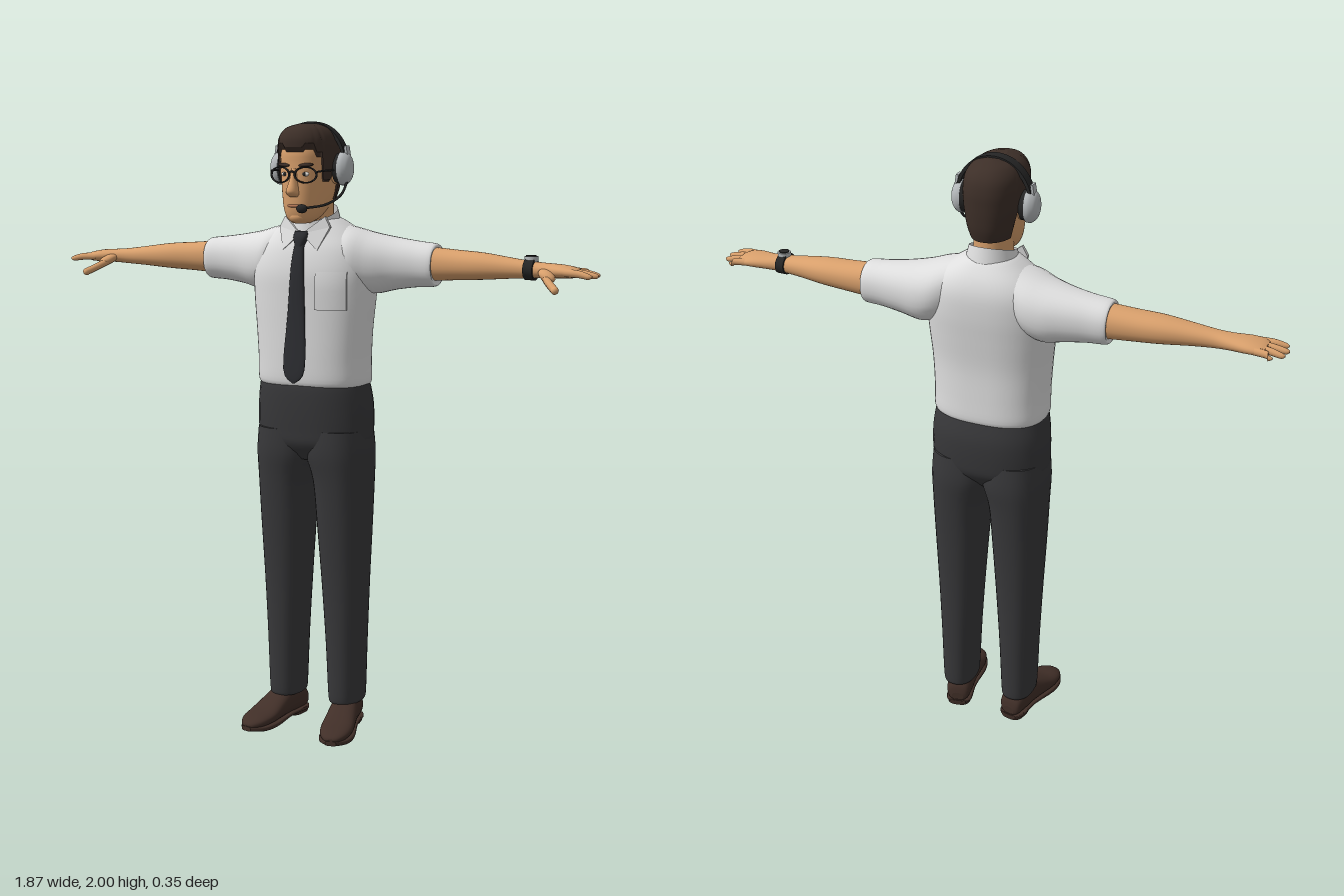
import * as THREE from 'three';
import { mergeVertices } from 'three/addons/utils/BufferGeometryUtils.js';

const mat = (name, color, side = THREE.FrontSide) => {
  const m = new THREE.MeshStandardMaterial({ color, side });
  m.name = name;
  return m;
};

// Smooth loft along an axis. Each ring is [position, uMin, uMax, vMin, vMax];
// (u, v) is (x, z) for 'y', (y, z) for 'x' and (x, y) for 'z'.
function loft(axis, rings, { p = 2, segs = 32, sub = 4, from = () => 0, caps = true } = {}) {
  const n = rings.length - 1, rows = n * sub;
  const pos = [], idx = [];
  const ring = (k) => {
    const i = Math.min(Math.floor(k), n - 1), t = k - i;
    const r = (j) => rings[Math.max(0, Math.min(n, j))];
    return rings[0].map((_, c) => {
      const a = r(i - 1)[c], b = r(i)[c], d = r(i + 1)[c], e = r(i + 2)[c];
      return b + 0.5 * t * (d - a + t * (2 * a - 5 * b + 4 * d - e + t * (3 * (b - d) + e - a)));
    });
  };
  const put = (w, u, v) => pos.push(...(axis === 'y' ? [u, w, v] : axis === 'x' ? [w, u, v] : [u, v, w]));
  const bend = (c) => Math.sign(c) * Math.abs(c) ** (2 / p);
  for (let i = 0; i <= rows; i++) for (let j = 0; j < segs; j++) {
    const a = (j / segs) * Math.PI * 2, k0 = from(a);
    const [w, u0, u1, v0, v1] = ring(k0 + (n - k0) * i / rows);
    const s = bend(Math.sin(a)) * (axis === 'y' ? -1 : 1);
    put(w, (u0 + u1) / 2 + bend(Math.cos(a)) * (u1 - u0) / 2, (v0 + v1) / 2 + s * (v1 - v0) / 2);
    if (i < rows) {
      const q = i * segs + j, r = i * segs + (j + 1) % segs;
      idx.push(q, r, r + segs, q, r + segs, q + segs);
    }
  }
  if (caps) for (const end of [0, 1]) {
    const first = pos.length / 3, row = end * rows * segs;
    for (let j = 0; j < segs; j++) pos.push(...pos.slice((row + j) * 3, (row + j) * 3 + 3));
    const [w, u0, u1, v0, v1] = rings[end * n];
    put(w, (u0 + u1) / 2, (v0 + v1) / 2);
    for (let j = 0; j < segs; j++) {
      const a = first + j, b = first + (j + 1) % segs;
      idx.push(first + segs, end ? a : b, end ? b : a);
    }
  }
  const g = new THREE.BufferGeometry();
  g.setAttribute('position', new THREE.Float32BufferAttribute(pos, 3));
  g.setIndex(idx);
  g.computeVertexNormals();
  return g;
}

// Symmetric ring: [position, half width, vMin, vMax]
const sym = (list) => list.map(([w, h, a, b]) => [w, -h, h, a, b]);
const tube = (pts, r) => new THREE.TubeGeometry(
  new THREE.CatmullRomCurve3(pts.map((q) => new THREE.Vector3(...q))), 20, r, 8);

// Moves the vertices of a geometry by a rule
function warp(g, rule) {
  const a = g.attributes.position;
  for (let i = 0; i < a.count; i++) a.setXYZ(i, ...rule(a.getX(i), a.getY(i), a.getZ(i)));
  g.computeVertexNormals();
  return g;
}

export function createModel() {
  const skin = mat('skin', 0xd9a06c), shirt = mat('shirt white', 0xdedede, THREE.DoubleSide);
  const cloth = mat('trouser charcoal', 0x38383a), hair = mat('hair brown', 0x3d2f28, THREE.DoubleSide);
  const leather = mat('shoe brown', 0x412f28), tieMat = mat('tie dark', 0x2c2d31);
  const silver = mat('headset silver', 0xb6babc), black = mat('black plastic', 0x252525);
  const lip = mat('lip', 0xb87a58), white = mat('eye white', 0xeeeae4);

  const root = new THREE.Group();
  root.name = 'officeWorker';
  const add = (name, g, m, at = [0, 0, 0], scale = [1, 1, 1], rot = [0, 0, 0]) => {
    const o = new THREE.Mesh(g, m);
    o.name = name;
    o.position.set(...at); o.scale.set(...scale); o.rotation.set(...rot);
    root.add(o);
    return o;
  };
  // Adds a part on the left (+x) and its mirror image on the right
  const pair = (name, ...args) => {
    const o = add('left' + name, ...args);
    o.updateMatrix();
    let g = o.geometry.clone().applyMatrix4(o.matrix);
    if (!g.index) g = mergeVertices(g);
    g.scale(-1, 1, 1);
    g.index.array.reverse();
    add('right' + name, g, o.material);
  };
  const ball = new THREE.SphereGeometry(1, 20, 14);

  // Trousers
  add('trouserHips', loft('y', sym([[0.92, 0.13, -0.12, 0.05], [0.97, 0.185, -0.16, 0.085], [1.02, 0.196, -0.17, 0.092],
    [1.1, 0.194, -0.172, 0.097], [1.16, 0.186, -0.16, 0.097], [1.19, 0.178, -0.15, 0.09]]), { p: 2.3 }), cloth);
  pair('TrouserLeg', loft('y', [[0.09, 0.056, 0.162, -0.13, 0.022], [0.12, 0.053, 0.166, -0.134, 0.028],
    [0.3, 0.045, 0.171, -0.138, 0.036], [0.5, 0.032, 0.179, -0.142, 0.046], [0.7, 0.018, 0.188, -0.151, 0.062],
    [0.85, 0.006, 0.193, -0.161, 0.076], [0.94, -0.02, 0.196, -0.167, 0.087], [1.02, -0.02, 0.19, -0.16, 0.085]], { p: 2.3 }), cloth);

  // Shoes, toes turned out
  const ankle = [0.108, 0, -0.07], turn = [0, 0.19, 0];
  pair('Shoe', loft('z', sym([[-0.056, 0.02, 0.02, 0.05], [-0.045, 0.038, 0.014, 0.085], [0, 0.045, 0.012, 0.11],
    [0.05, 0.046, 0.012, 0.11], [0.1, 0.05, 0.012, 0.088], [0.16, 0.054, 0.012, 0.06], [0.21, 0.046, 0.012, 0.048],
    [0.24, 0.026, 0.014, 0.036], [0.248, 0.01, 0.018, 0.028]]), { p: 2.5 }), leather, ankle, [1, 1, 1], turn);
  pair('ShoeSole', loft('z', sym([[-0.058, 0.03, 0.01, 0.022], [-0.03, 0.045, 0.008, 0.022], [0.05, 0.044, 0.008, 0.022],
    [0.15, 0.057, 0, 0.02], [0.21, 0.049, 0, 0.02], [0.25, 0.018, 0.006, 0.022]]), { p: 4 }), leather, ankle, [1, 1, 1], turn);
  pair('ShoeHeel', loft('y', sym([[0, 0.04, -0.058, 0.035], [0.02, 0.043, -0.06, 0.035]]), { p: 3, sub: 1 }),
    leather, ankle, [1, 1, 1], turn);

  // Shirt
  add('shirtBody', loft('y', sym([[1.163, 0.178, -0.155, 0.09], [1.18, 0.187, -0.163, 0.1], [1.25, 0.187, -0.16, 0.102],
    [1.35, 0.193, -0.157, 0.102], [1.45, 0.202, -0.165, 0.102], [1.53, 0.204, -0.172, 0.1], [1.6, 0.188, -0.171, 0.083],
    [1.65, 0.148, -0.155, 0.058], [1.69, 0.09, -0.125, 0.038], [1.7, 0.065, -0.11, 0.03]]), { p: 2.5, segs: 48 }), shirt);
  pair('Sleeve', loft('x', [[0.07, 1.54, 1.685, -0.13, 0.02], [0.14, 1.48, 1.669, -0.162, 0.06], [0.2, 1.46, 1.653, -0.167, 0.04],
    [0.27, 1.474, 1.64, -0.157, 0.012], [0.34, 1.484, 1.63, -0.146, -0.003], [0.4, 1.488, 1.623, -0.14, -0.008],
    [0.404, 1.5, 1.612, -0.13, -0.018]], { p: 2.2 }), shirt);
  add('collarBand', warp(loft('y', sym([[1.655, 0.085, -0.122, 0.07], [1.685, 0.078, -0.115, 0.064], [1.707, 0.072, -0.11, 0.06]]),
    { caps: false }), (x, y, z) => [x, y - z * 0.32, z]), shirt);
  const flap = new THREE.Shape([[0.004, 1.652], [0.06, 1.6], [0.088, 1.672], [0.07, 1.705]].map((q) => new THREE.Vector2(...q)));
  pair('CollarFlap', warp(new THREE.ExtrudeGeometry(flap, { depth: 0.012, bevelEnabled: false }),
    (x, y, z) => [x, y, z + 0.082 - (y - 1.6) * 0.32 - x * x * 3]), shirt);
  add('chestPocket', warp(new THREE.BoxGeometry(0.095, 0.12, 0.012, 10, 4, 1).translate(0.11, 1.475, 0),
    (x, y, z) => [x, y, z - 0.03 + 0.134 * (1 - (x / 0.203) ** 2.5) ** 0.4 - Math.max(0, y - 1.5) * 0.2]), shirt);

  // Tie, hanging slightly away from the belly
  add('tieBlade', loft('y', sym([[1.18, 0.003, 0.126, 0.132], [1.225, 0.038, 0.12, 0.132], [1.4, 0.03, 0.1, 0.117],
    [1.55, 0.022, 0.09, 0.109], [1.63, 0.014, 0.07, 0.092]]), { p: 2.6, segs: 20 }), tieMat);
  add('tieKnot', loft('y', sym([[1.612, 0.013, 0.07, 0.098], [1.64, 0.024, 0.055, 0.094], [1.66, 0.022, 0.05, 0.08]]),
    { p: 2.6, segs: 20 }), tieMat);

  // Arms and hands
  pair('Arm', loft('x', [[0.38, 1.505, 1.613, -0.13, -0.02], [0.47, 1.511, 1.606, -0.125, -0.018], [0.56, 1.516, 1.6, -0.117, -0.015],
    [0.65, 1.523, 1.588, -0.1, -0.02], [0.72, 1.527, 1.579, -0.09, -0.024], [0.77, 1.53, 1.575, -0.095, -0.018],
    [0.82, 1.531, 1.572, -0.102, -0.004], [0.855, 1.533, 1.566, -0.1, -0.002], [0.872, 1.54, 1.56, -0.09, -0.015]], { p: 2.2 }), skin);
  [[0.9, -0.102, -0.088], [0.93, -0.072, -0.064], [0.935, -0.038, -0.04], [0.925, -0.002, -0.014]].forEach(([x, z, z0], i) =>
    pair('Finger' + (i + 1), loft('x', [[0.83, 1.538, 1.562, z0 - 0.012, z0 + 0.012], [0.88, 1.537, 1.56, (z + z0) / 2 - 0.011, (z + z0) / 2 + 0.011],
      [x - 0.012, 1.533, 1.551, z - 0.009, z + 0.009], [x, 1.539, 1.545, z - 0.003, z + 0.003]], { segs: 12 }), skin));
  pair('ThumbBase', ball, skin, [0.782, 1.54, -0.012], [0.034, 0.016, 0.022], [0, -0.6, -0.4]);
  pair('Thumb', tube([[0.775, 1.538, -0.01], [0.8, 1.52, 0.022], [0.828, 1.502, 0.052]], 0.012), skin);
  pair('ThumbTip', ball, skin, [0.828, 1.502, 0.052], [0.012, 0.012, 0.013]);

  // Wrist watch on the left arm
  add('watchStrap', loft('x', [[0.703, 1.521, 1.588, -0.098, -0.016], [0.733, 1.521, 1.586, -0.096, -0.016]], { sub: 1 }), black);
  add('watchCase', new THREE.CylinderGeometry(0.021, 0.021, 0.016, 24), silver, [0.718, 1.586, -0.057]);
  add('watchDial', new THREE.CylinderGeometry(0.016, 0.016, 0.004, 24), black, [0.718, 1.595, -0.057]);

  // Neck and head
  add('neck', loft('y', sym([[1.62, 0.06, -0.09, 0.045], [1.69, 0.06, -0.095, 0.05], [1.77, 0.06, -0.095, 0.05]])), skin);
  add('head', loft('y', sym([[1.685, 0.026, 0.04, 0.1], [1.7, 0.046, 0, 0.114], [1.73, 0.062, -0.05, 0.122],
    [1.77, 0.071, -0.085, 0.124], [1.82, 0.077, -0.1, 0.124], [1.87, 0.081, -0.107, 0.123], [1.91, 0.081, -0.107, 0.121],
    [1.95, 0.07, -0.09, 0.1], [1.98, 0.035, -0.045, 0.05]]), { p: 2.3, segs: 48 }), skin);
  add('nose', loft('y', sym([[1.768, 0.012, 0.11, 0.135], [1.778, 0.02, 0.11, 0.155], [1.792, 0.018, 0.11, 0.157],
    [1.82, 0.012, 0.105, 0.143], [1.855, 0.01, 0.1, 0.128]]), { segs: 16 }), skin);
  add('mouth', ball, lip, [0, 1.74, 0.118], [0.026, 0.006, 0.008]);
  add('chin', ball, skin, [0, 1.705, 0.095], [0.03, 0.02, 0.024]);
  pair('Ear', ball, skin, [0.084, 1.84, -0.005], [0.014, 0.035, 0.022]);
  pair('Eye', ball, white, [0.034, 1.838, 0.113], [0.014, 0.007, 0.007]);
  pair('Pupil', ball, black, [0.034, 1.838, 0.117], [0.006, 0.006, 0.005]);
  pair('Eyebrow', ball, hair, [0.038, 1.866, 0.116], [0.024, 0.006, 0.008], [0, 0.25, 0.08]);

  // Hair: long at the back, sideburns, receding temples
  const hairline = (a) => {
    const f = -Math.sin(a);
    const y = f > 0.93 ? 1.92 : f > 0.72 ? 1.932 : f > 0.5 ? 1.905 : f > 0.12 ? 1.82 : f > -0.3 ? 1.84 : 1.76;
    return (y - 1.75) / 0.04;
  };
  add('hair', loft('y', sym([[1.75, 0.066, -0.106, 0.125], [1.79, 0.079, -0.118, 0.128], [1.83, 0.086, -0.123, 0.13],
    [1.87, 0.091, -0.125, 0.131], [1.91, 0.092, -0.125, 0.132], [1.95, 0.086, -0.115, 0.131], [1.98, 0.062, -0.088, 0.11],
    [1.994, 0.022, -0.045, 0.06]]), { p: 2.3, segs: 64, from: hairline }), hair);

  // Glasses
  pair('GlassesRim', new THREE.TorusGeometry(1, 0.1, 8, 28), black, [0.044, 1.836, 0.13], [0.035, 0.024, 0.035], [0, 0.2, 0]);
  add('glassesBridge', tube([[-0.011, 1.842, 0.137], [0, 1.847, 0.141], [0.011, 1.842, 0.137]], 0.003), black);
  pair('GlassesTemple', tube([[0.078, 1.845, 0.123], [0.09, 1.848, 0.1], [0.093, 1.85, 0]], 0.003), black);

  // Headset with boom microphone
  const arc = new THREE.Shape();
  arc.absellipse(0, 0, 0.124, 0.135, 0, Math.PI, false);
  arc.absellipse(0, 0, 0.114, 0.123, Math.PI, 0, true);
  add('headband', new THREE.ExtrudeGeometry(arc, { depth: 0.036, bevelEnabled: false, curveSegments: 32 }), black, [0, 1.865, -0.026]);
  pair('BandSlider', new THREE.BoxGeometry(0.008, 0.05, 0.026), silver, [0.124, 1.9, -0.008], [1, 1, 1], [0, 0, 0.16]);
  pair('EarPad', loft('x', [[0.086, 1.81, 1.9, -0.042, 0.03], [0.108, 1.805, 1.905, -0.046, 0.034]], { sub: 1 }), black);
  pair('EarCup', loft('x', [[0.104, 1.802, 1.908, -0.046, 0.036], [0.118, 1.803, 1.907, -0.045, 0.035],
    [0.132, 1.815, 1.895, -0.036, 0.026], [0.139, 1.83, 1.88, -0.024, 0.014]]), silver);
  add('microphoneBoom', tube([[0.126, 1.815, 0], [0.12, 1.775, 0.03], [0.095, 1.745, 0.09], [0.045, 1.734, 0.15]], 0.004), black);
  add('microphone', ball, black, [0.042, 1.733, 0.153], [0.018, 0.014, 0.014]);
  return root;
}
